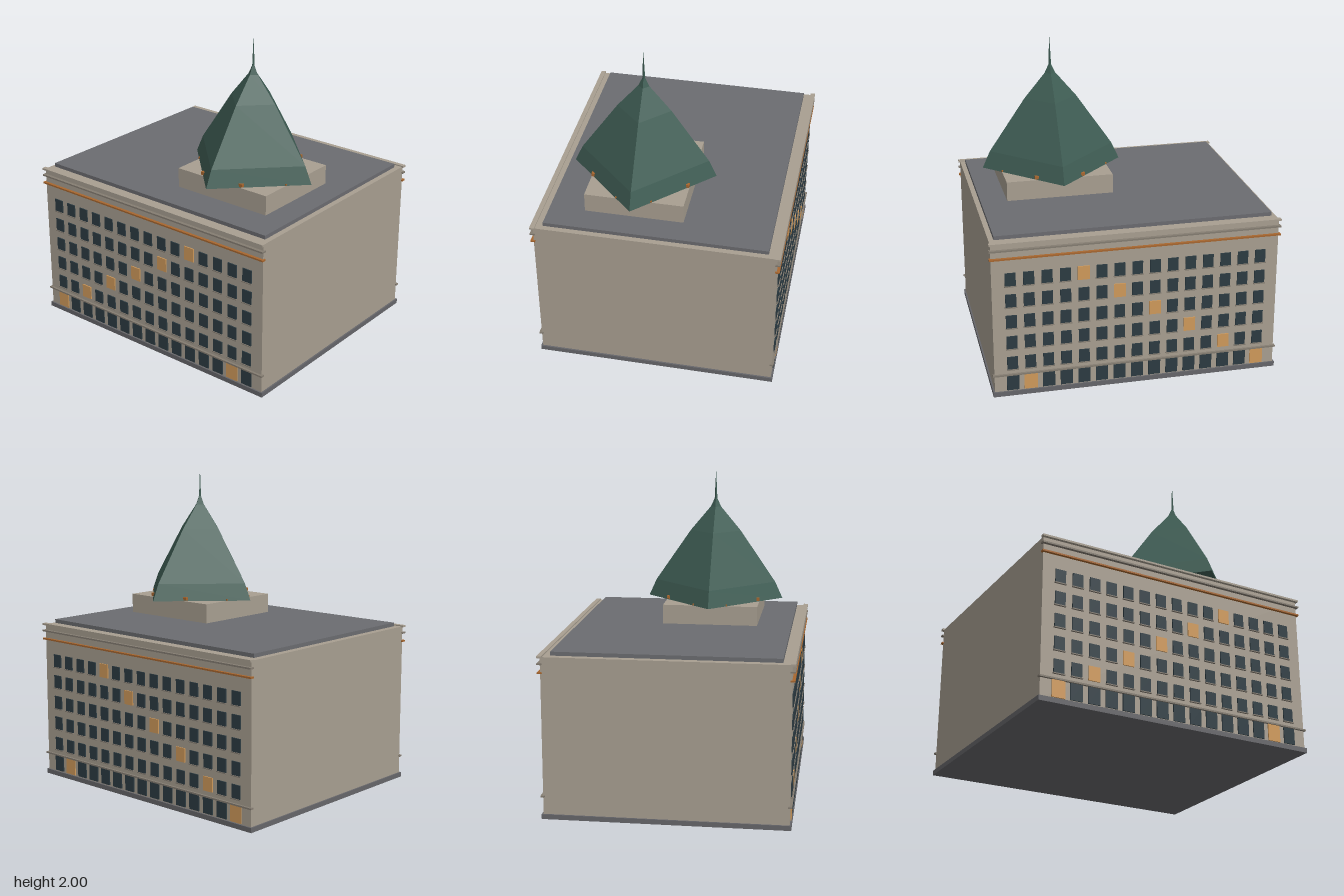
import * as THREE from 'three';

const mat = (name, color, extra = {}) => {
  const m = new THREE.MeshStandardMaterial({ color, ...extra });
  m.name = name;
  return m;
};

export function createModel() {
  const stone = mat('stone', 0xa89f91);
  const trim = mat('trim stone', 0x857d72);
  const plinthGrey = mat('plinth grey', 0x66666a);
  const roofGrey = mat('roof grey', 0x6b6c70);
  const glass = mat('dark glass', 0x2c3b42);
  const lit = mat('lit glass', 0xd09a5b);
  const copper = mat('copper', 0xa8672f);
  const green = mat('green roof', 0x3f5d54, { flatShading: true });

  const model = new THREE.Group();
  model.name = 'building';
  const box = (parent, name, material, w, h, d, x, y, z) => {
    const mesh = new THREE.Mesh(new THREE.BoxGeometry(w, h, d), material);
    mesh.name = name;
    mesh.position.set(x, y, z);
    parent.add(mesh);
    return mesh;
  };

  // Main block, plinth and roof slab
  box(model, 'plinth', plinthGrey, 1.8, 0.03, 1.51, 0, 0.015, 0);
  box(model, 'mainBlock', stone, 1.78, 0.988, 1.49, 0, 0.514, 0);
  box(model, 'roofSlab', roofGrey, 1.72, 0.024, 1.38, 0, 1.024, 0);

  // Front and back facades, each with the same x layout
  const columns = 15, pitch = 0.111, wall = 0.745;
  for (const side of [1, -1]) {
    const facade = new THREE.Group();
    facade.name = side > 0 ? 'frontFacade' : 'backFacade';
    model.add(facade);

    // Horizontal bands
    const bands = [
      ['cornice', stone, 1.009, 0.012, 0.02],
      ['upperBand', trim, 0.966, 0.01, 0.02],
      ['copperBand', copper, 0.912, 0.01, 0.018],
      ['lowerBand', trim, 0.143, 0.01, 0.014],
    ];
    for (const [name, material, y, h, out] of bands)
      box(facade, name, material, 1.8, h, out + 0.01, 0, y, side * (wall + (out - 0.01) / 2));

    // Windows; the lit ones climb in a diagonal
    for (let row = 0; row < 6; row++) {
      const ground = row === 0;
      const y = ground ? 0.087 : 0.22 + (row - 1) * 0.1388;
      for (let col = 0; col < columns; col++) {
        const x = (col - (columns - 1) / 2) * pitch;
        const isLit = ground ? col === 0 || col === 13 : col === row * 2;
        const w = (ground ? 0.076 : 0.066) + (isLit ? 0.007 : 0);
        const h = (ground ? 0.1 : 0.084) + (isLit ? 0.004 : 0);
        box(facade, isLit ? 'litWindow' : 'window', isLit ? lit : glass,
          w, h, 0.008, x, y, side * (wall + 0.003));
        if (!ground && !isLit)
          box(facade, 'sill', trim, 0.074, 0.006, 0.014, x, y - 0.044, side * (wall + 0.005));
      }
    }
  }

  // Corner tower
  const tower = new THREE.Group();
  tower.name = 'tower';
  tower.position.set(0.355, 0, 0.162);
  model.add(tower);
  box(tower, 'towerBase', stone, 0.68, 0.125, 0.614, 0, 1.0975, 0);

  // Small copper vents just breaking through the roof skirt
  for (const a of [1, -1]) {
    for (const b of [1, -1]) {
      box(tower, 'vent', copper, 0.026, 0.02, 0.02, a * 0.147, 1.175, b * 0.297);
      box(tower, 'vent', copper, 0.02, 0.012, 0.024, a * 0.332, 1.166, b * 0.1);
    }
  }

  // Four-sided curved roof, corners on the axes, drawn up into a spire
  const profile = [
    [0, 1.16], [0.449, 1.16], [0.4, 1.268], [0.167, 1.607],
    [0.034, 1.766], [0.009, 1.82], [0.003, 1.95], [0, 2],
  ].map(([r, y]) => new THREE.Vector2(r, y));
  const spire = new THREE.Mesh(new THREE.LatheGeometry(profile, 4), green);
  spire.name = 'spireRoof';
  tower.add(spire);

  return model;
}
